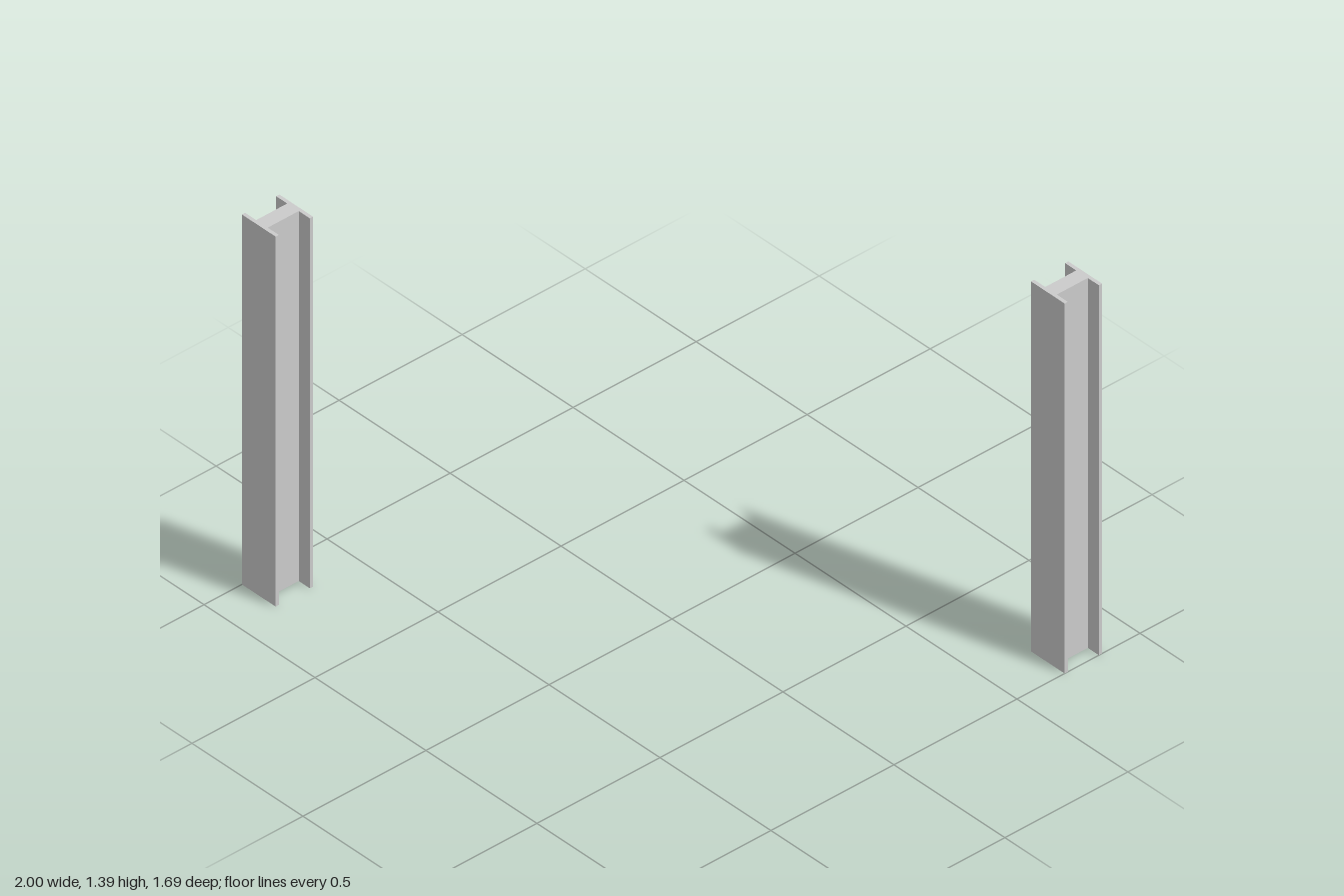
import * as THREE from 'three';

const HEIGHT = 1.386, WIDTH = 0.152, DEPTH = 0.152, FLANGE = 0.013, WEB = 0.052, CORE = 0.04;

function rect(shape, w, h) {
  return shape.moveTo(-w / 2, -h / 2).lineTo(w / 2, -h / 2).lineTo(w / 2, h / 2).lineTo(-w / 2, h / 2).closePath();
}

function createColumn(name, x, z) {
  const material = new THREE.MeshStandardMaterial({ color: 0xcccccc });
  const column = new THREE.Group();
  column.name = name;
  column.position.set(x, 0, z);
  const add = (partName, geometry, pz = 0) => {
    const mesh = new THREE.Mesh(geometry, material);
    mesh.name = partName;
    mesh.position.set(0, HEIGHT / 2, pz);
    column.add(mesh);
  };

  // Wide plates on the front and back
  const offset = (DEPTH - FLANGE) / 2;
  add('frontFlange', new THREE.BoxGeometry(WIDTH, HEIGHT, FLANGE), offset);
  add('backFlange', new THREE.BoxGeometry(WIDTH, HEIGHT, FLANGE), -offset);

  // Thick web with a square channel running up its middle
  const profile = rect(new THREE.Shape(), WEB, DEPTH - 2 * FLANGE);
  profile.holes.push(rect(new THREE.Path(), CORE, CORE));
  const web = new THREE.ExtrudeGeometry(profile, { depth: HEIGHT, bevelEnabled: false });
  web.translate(0, 0, -HEIGHT / 2).rotateX(-Math.PI / 2);
  add('web', web);

  // Square post filling the channel, flush with the web
  add('corePost', new THREE.BoxGeometry(CORE, HEIGHT, CORE));
  return column;
}

export function createModel() {
  const model = new THREE.Group();
  model.name = 'columnPair';
  // Two identical columns on opposite corners
  model.add(createColumn('frontRightColumn', -0.924, 0.77));
  model.add(createColumn('backLeftColumn', 0.924, -0.77));
  return model;
}
